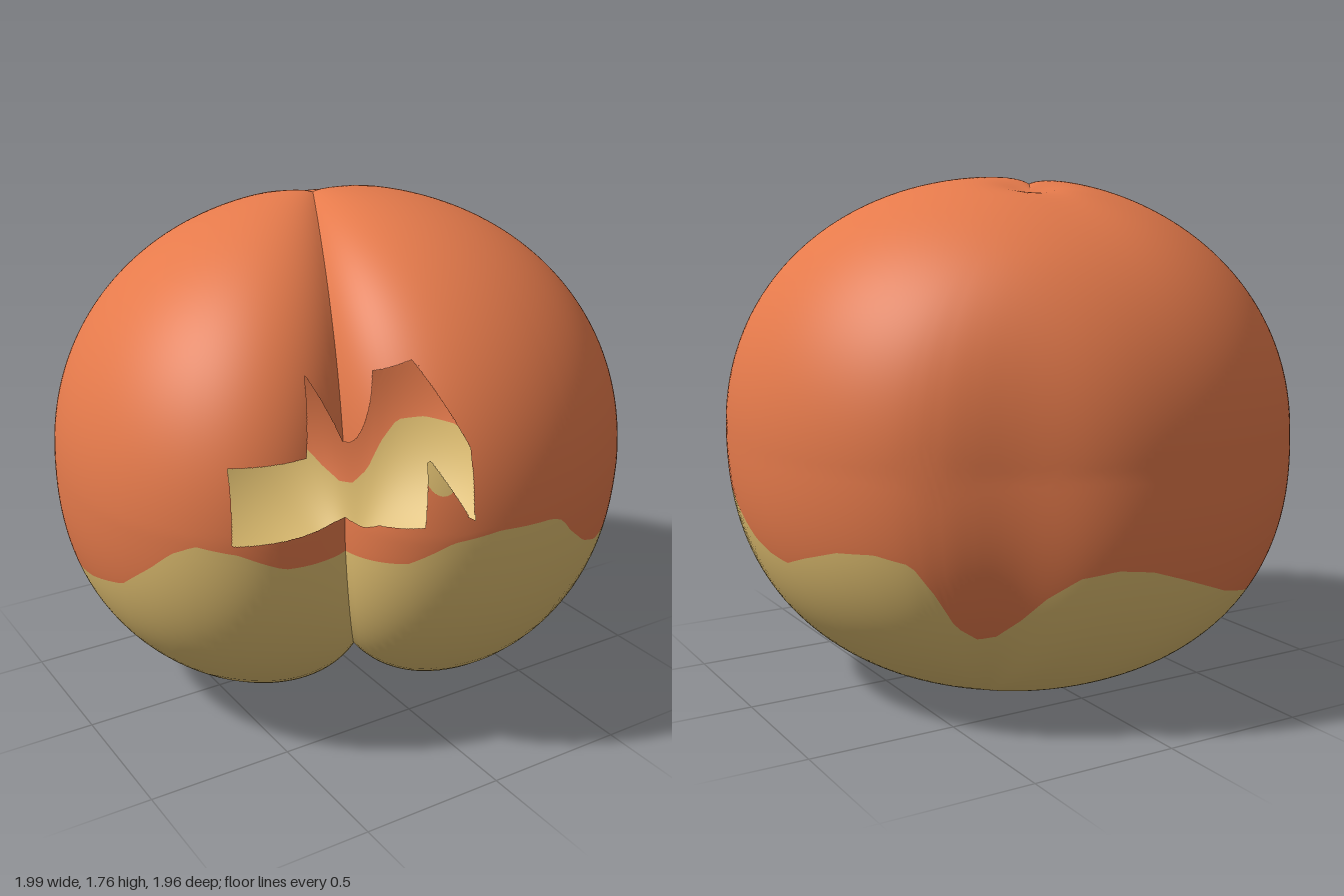
import * as THREE from 'three';

const SEAM = -29.2;                       // azimuth of the crease, degrees from +z towards +x
const COLS = 240, UPPER = 76, LOWER = 36; // grid resolution

// Edge between the two skin colours: azimuth, height
const EDGE = [
  [-29, .77], [-17, .8], [-13, .84], [-9, .88], [0, .905], [12, .895], [15, .875], [18, .82], [24, .745],
  [31, .7], [37, .695], [42, .71], [48, .765], [53, .795], [65, .78], [78, .71], [90, .6], [96, .57],
  [102, .555], [108, .59], [117, .635], [125, .645], [132, .62], [136, .52], [139, .41], [143, .36],
  [147, .37], [152, .43], [157, .51], [163, .575], [170, .595], [177, .58], [184, .54], [197, .46],
  [211, .405], [225, .455], [236, .485], [257, .55], [270, .59], [283, .65], [292, .76], [297, .83],
  [302, .87], [310, .85], [318, .79], [326, .78], [331, .77],
];

// Ragged opening, as x and y pairs seen from the front
const HOLE = [
  [-.73, .88], [-.72, 1.12], [-.49, 1.13], [-.44, 1.36], [-.33, 1.13], [-.26, 1.37], [-.17, 1.41],
  [-.08, 1.17], [-.09, .94], [-.2, 1.15], [-.22, .93], [-.31, .915], [-.33, .89], [-.4, .9],
];

// Pale fleck on the torn spike: x, y, half width, half height
const FLECK = [-.17, 1.11, .045, .08];

function edgeHeight(az) {
  az = ((az - SEAM) % 360 + 360) % 360 + SEAM;
  for (let i = 1; i < EDGE.length; i++) {
    const [a0, y0] = EDGE[i - 1], [a1, y1] = EDGE[i];
    if (az <= a1) return y0 + (y1 - y0) * THREE.MathUtils.clamp((az - a0) / (a1 - a0), 0, 1);
  }
  return EDGE[0][1];
}

function insideHole(x, y) {
  let inside = false;
  for (let i = 0, j = HOLE.length - 1; i < HOLE.length; j = i++) {
    const [xi, yi] = HOLE[i], [xj, yj] = HOLE[j];
    if ((yi > y) !== (yj > y) && x < (xj - xi) * (y - yi) / (yj - yi) + xi) inside = !inside;
  }
  return inside;
}

// What covers a point of the skin
function coverAt({ x, y, z }) {
  if (z < 0) return 'plain';
  if (insideHole(x, y)) return 'open';
  const [fx, fy, a, b] = FLECK;
  return ((x - fx) / a) ** 2 + ((y - fy) / b) ** 2 < 1 ? 'fleck' : 'plain';
}

// Rounded body with a cleft that runs from the top dimple to the underside
function surfacePoint(theta, turn) {
  const phi = THREE.MathUtils.degToRad(SEAM + turn);
  const c = Math.cos(theta), s = Math.max(Math.sin(theta), 0), up = c > 0;
  const w = Math.abs(c) ** (up ? 2 : 1.6);
  const d = new THREE.Vector3(
    s * Math.sin(phi) + w * (up ? .06 : .4), c, s * Math.cos(phi) - w * (up ? .3 : .45));
  // Fuller below than above
  const q = up ? 2.1 : 2.34, p = 2.04;
  const flat = Math.pow(Math.abs(d.x) ** p + Math.abs(d.z / (d.z > 0 ? 1 : .975)) ** p, 1 / p);
  const r = Math.pow(flat ** q + Math.abs(d.y / (up ? .9 : .89)) ** q, -1 / q);
  // Front cleft, shallow groove opposite it, fuller back of one lobe, top dimple
  const away = Math.min(turn, 360 - turn);
  const cleft = .31 * s ** (up ? 1.5 : 1.3) * Math.exp(-away / (turn < 180 ? 13 : 14));
  const groove = .05 * THREE.MathUtils.smoothstep(theta, .7, 1.6) * s * Math.exp(-(((turn - 180) / 15) ** 2));
  const bulge = .03 * s * Math.exp(-(((turn - 237) / 25) ** 2));
  const dimple = .03 * Math.exp(-((theta / .12) ** 2));
  d.multiplyScalar(r * (.997 - cleft - groove + bulge - dimple));
  // Slight lean of the top and of the underside
  if (d.y > 0) {
    d.x += .02 * d.y;
    d.z -= .015 * d.y;
  } else d.z += .05 * d.y;
  d.y += .89;
  return d;
}

// Polar angle at which a column crosses the colour edge
function edgeAngle(turn) {
  let lo = .8, hi = 2.6;
  for (let i = 0; i < 30; i++) {
    const mid = (lo + hi) / 2, v = surfacePoint(mid, turn);
    const az = turn === 0 || turn === 360 ? SEAM : THREE.MathUtils.radToDeg(Math.atan2(v.x, v.z));
    if (v.y > edgeHeight(az)) lo = mid; else hi = mid;
  }
  return (lo + hi) / 2;
}

export function createModel() {
  const blush = new THREE.MeshStandardMaterial({ color: 0xe57a4b, side: THREE.DoubleSide });
  blush.name = 'orange skin';
  const pale = new THREE.MeshStandardMaterial({ color: 0xdfbe70, side: THREE.DoubleSide });
  pale.name = 'pale yellow skin';

  // One row of the grid follows the colour edge exactly
  const rows = UPPER + LOWER, points = [], triangles = [];
  for (let c = 0; c <= COLS; c++) {
    const turn = c / COLS * 360, edge = edgeAngle(turn);
    for (let r = 0; r <= rows; r++) {
      const theta = r <= UPPER ? edge * r / UPPER : edge + (Math.PI - edge) * (r - UPPER) / LOWER;
      points.push(surfacePoint(theta, turn));
      const a = c * (rows + 1) + r, b = a + rows + 1;
      if (c === COLS || r === rows) continue;
      if (r < rows - 1) triangles.push([a, a + 1, b + 1, r < UPPER]);
      if (r > 0) triangles.push([a, b + 1, b, r < UPPER]);
    }
  }

  // Smooth normals of the whole skin
  const grid = new THREE.BufferGeometry().setFromPoints(points);
  grid.setIndex(triangles.flatMap(([i, j, k]) => [i, j, k]));
  grid.computeVertexNormals();
  const normals = points.map((_, i) => new THREE.Vector3().fromBufferAttribute(grid.attributes.normal, i));

  // Sort triangles by colour, splitting those on the rim of the opening or of the fleck
  const orange = [], yellow = [];
  const midpoint = (i, j) => {
    normals.push(normals[i].clone().add(normals[j]).normalize());
    return points.push(points[i].clone().lerp(points[j], .5)) - 1;
  };
  const addTriangle = (i, j, k, upper, depth) => {
    const covers = [i, j, k].map(n => coverAt(points[n]));
    if (depth > 0 && (covers[0] !== covers[1] || covers[1] !== covers[2])) {
      const ij = midpoint(i, j), jk = midpoint(j, k), ki = midpoint(k, i);
      for (const t of [[i, ij, ki], [ij, j, jk], [ki, jk, k], [ij, jk, ki]]) addTriangle(...t, upper, depth - 1);
      return;
    }
    const center = points[i].clone().add(points[j]).add(points[k]).divideScalar(3);
    const cover = coverAt(center);
    if (cover !== 'open') (upper && cover === 'plain' ? orange : yellow).push(i, j, k);
  };
  for (const [i, j, k, upper] of triangles) addTriangle(i, j, k, upper, 3);

  const geometry = new THREE.BufferGeometry().setFromPoints(points);
  geometry.setAttribute('normal', new THREE.Float32BufferAttribute(normals.flatMap(n => n.toArray()), 3));
  geometry.setIndex(orange.concat(yellow));
  geometry.addGroup(0, orange.length, 0);
  geometry.addGroup(orange.length, yellow.length, 1);

  // Rest the fruit on the ground
  geometry.computeBoundingBox();
  geometry.translate(0, -geometry.boundingBox.min.y, 0);

  const skin = new THREE.Mesh(geometry, [blush, pale]);
  skin.name = 'fruitSkin';
  const group = new THREE.Group();
  group.name = 'fruit';
  group.add(skin);
  return group;
}
